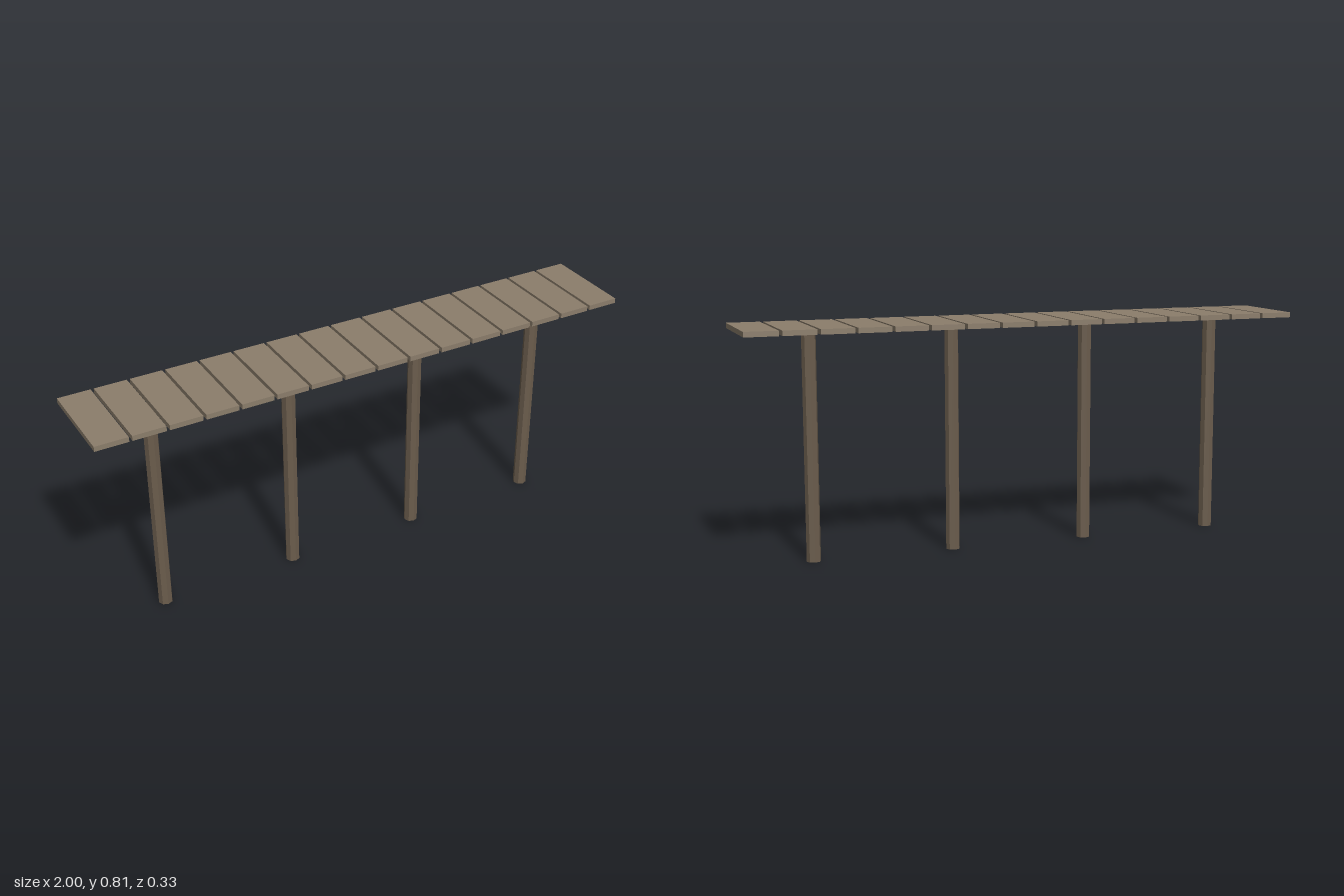
import * as THREE from 'three';

const PLANKS = 16, PLANK_W = 0.115, PITCH = (2 - PLANK_W) / (PLANKS - 1);
const DEPTH = 0.329, DECK_BOTTOM = 0.796, THICK = 0.018;

export function createModel() {
  const model = new THREE.Group();
  model.name = 'pier';

  const plankWood = new THREE.MeshStandardMaterial({ color: 0x8b7d6b });
  plankWood.name = 'weathered plank wood';
  const postWood = new THREE.MeshStandardMaterial({ color: 0x6b5d4d, flatShading: true });
  postWood.name = 'dark post wood';

  // Deck planks, laid across with narrow gaps
  const deck = new THREE.Group();
  deck.name = 'deck';
  const plankGeo = new THREE.BoxGeometry(PLANK_W, THICK, DEPTH);
  for (let i = 0; i < PLANKS; i++) {
    const plank = new THREE.Mesh(plankGeo, plankWood);
    plank.name = `plank${i + 1}`;
    plank.position.set((i - (PLANKS - 1) / 2) * PITCH, DECK_BOTTOM + THICK / 2, 0);
    deck.add(plank);
  }
  model.add(deck);

  // Octagonal posts, each under a gap between planks
  const posts = new THREE.Group();
  posts.name = 'posts';
  const postGeo = new THREE.CylinderGeometry(0.025, 0.025, DECK_BOTTOM, 8);
  [-6, -2, 2, 6].forEach((step, i) => {
    const post = new THREE.Mesh(postGeo, postWood);
    post.name = `post${i + 1}`;
    post.position.set(step * PITCH, DECK_BOTTOM / 2, 0);
    posts.add(post);
  });
  model.add(posts);

  return model;
}
